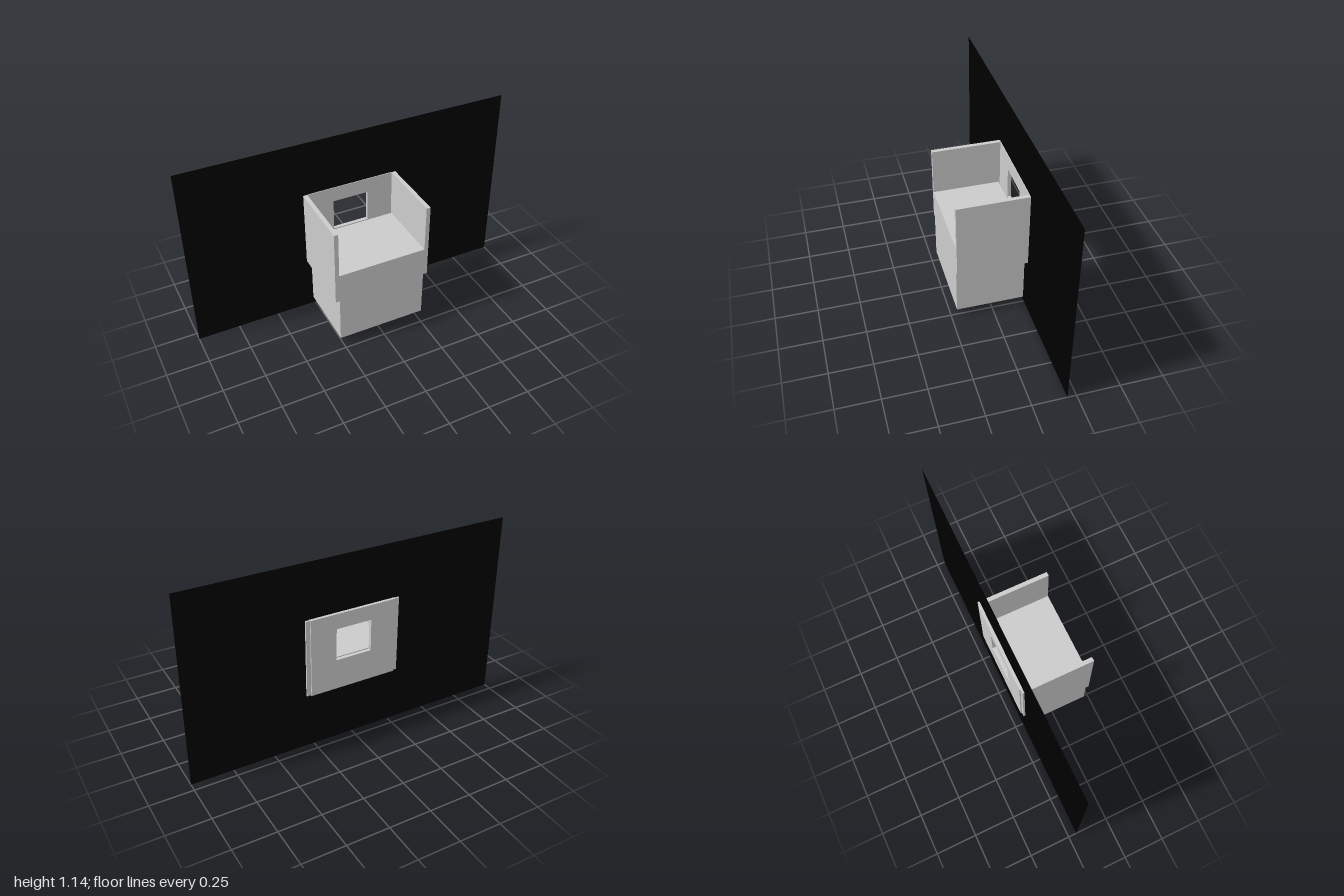
import * as THREE from 'three';

const grey = new THREE.MeshStandardMaterial({ color: 0xcccccc, flatShading: true });
const black = new THREE.MeshStandardMaterial({ color: 0x000000, side: THREE.DoubleSide });

// Box given by its min and max corners
function box(name, [x0, y0, z0], [x1, y1, z1]) {
  const mesh = new THREE.Mesh(new THREE.BoxGeometry(x1 - x0, y1 - y0, z1 - z0), grey);
  mesh.position.set((x0 + x1) / 2, (y0 + y1) / 2, (z0 + z1) / 2);
  mesh.name = name;
  return mesh;
}

// Rectangle outline, symmetric in x, usable as shape or hole
function rect(PathType, halfWidth, y0, y1) {
  const p = new PathType();
  p.moveTo(-halfWidth, y0);
  p.lineTo(halfWidth, y0);
  p.lineTo(halfWidth, y1);
  p.lineTo(-halfWidth, y1);
  p.closePath();
  return p;
}

function withWindow(halfWidth, y0, y1) {
  const shape = rect(THREE.Shape, halfWidth, y0, y1);
  shape.holes.push(rect(THREE.Path, 0.11, 0.525, 0.72));
  return shape;
}

export function createModel() {
  const group = new THREE.Group();
  group.name = 'windowSeat';

  // Solid seat block
  group.add(box('seat', [-0.268, 0.055, -0.187], [0.268, 0.525, 0.217]));

  // Side walls, running through the panel
  group.add(box('leftArm', [0.268, 0.342, -0.21], [0.293, 0.81, 0.217]));
  group.add(box('rightArm', [-0.293, 0.342, -0.21], [-0.268, 0.81, 0.217]));

  // Back rest with window opening, a little apart from the seat
  const back = new THREE.Mesh(
    new THREE.ExtrudeGeometry(withWindow(0.268, 0.34, 0.812), { depth: 0.022, bevelEnabled: false }),
    grey
  );
  back.position.z = -0.217;
  back.name = 'backRest';
  group.add(back);

  // Thin wall panel with the same opening
  const panel = new THREE.Mesh(new THREE.ShapeGeometry(withWindow(1, 0, 1.145)), black);
  panel.position.z = -0.199;
  panel.name = 'wallPanel';
  group.add(panel);

  return group;
}
